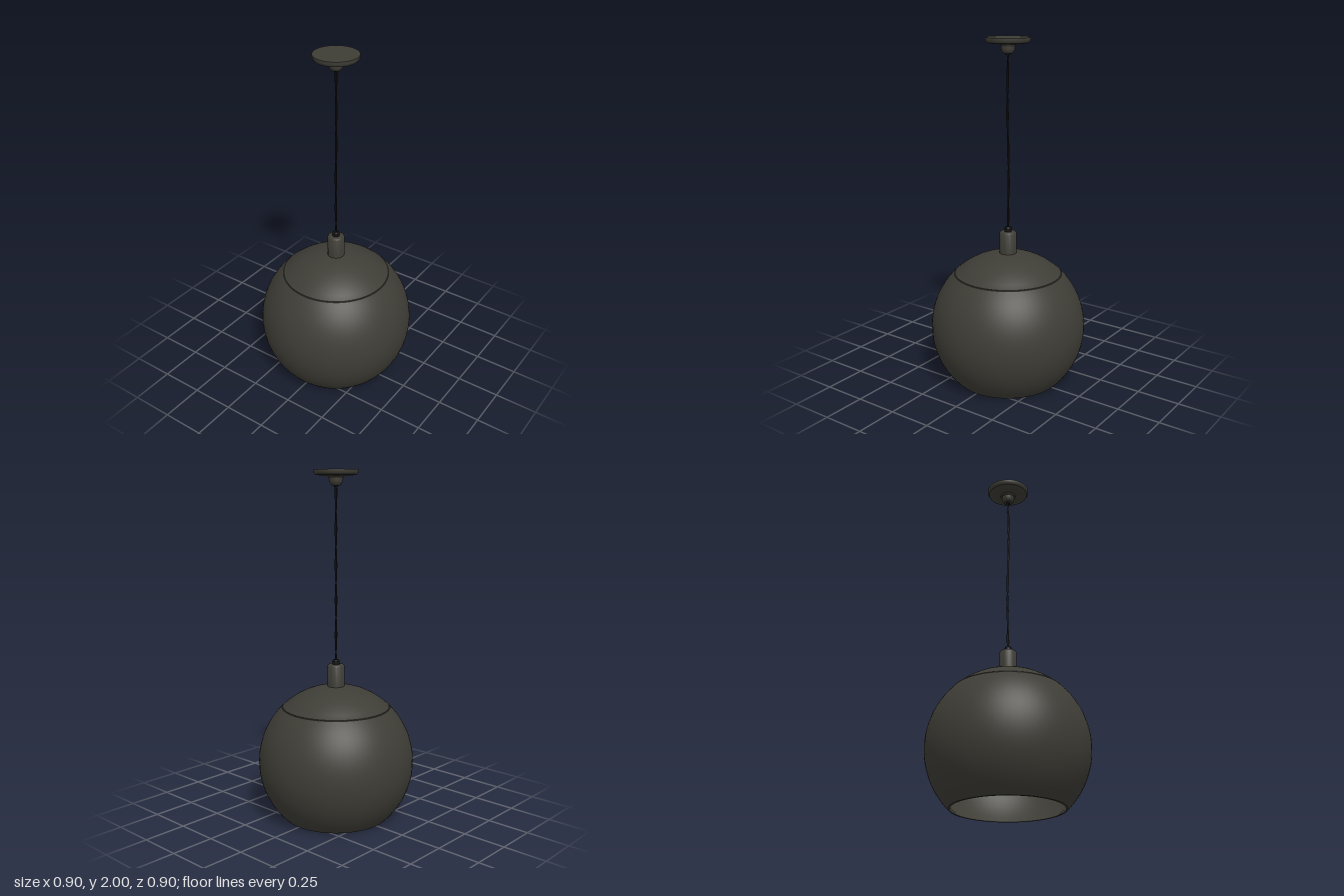
import * as THREE from 'three';
import { toCreasedNormals } from 'three/addons/utils/BufferGeometryUtils.js';

const metal = new THREE.MeshStandardMaterial({ color: 0x3e3d36 });
metal.name = 'dark olive metal';
const black = new THREE.MeshStandardMaterial({ color: 0x141414 });
black.name = 'black cord';

const R = 0.452, CY = 0.325;   // globe radius and centre height
const SEAM = 0.65;             // height of the cap seam

export function createModel() {
  const group = new THREE.Group();

  const add = (name, geometry, material) => {
    const mesh = new THREE.Mesh(geometry, material);
    mesh.name = name;
    group.add(mesh);
    return mesh;
  };
  // Revolves [radius, height] pairs, listed upwards along the outside
  const lathe = (name, points, material, segments = 48) => add(name, toCreasedNormals(
    new THREE.LatheGeometry(points.map(([x, y]) => new THREE.Vector2(x, y)), segments), 0.6), material);
  // Points of a circular arc between two heights
  const arc = (r, y0, y1, n) => {
    const a0 = Math.asin(Math.max(-1, (y0 - CY) / r)), a1 = Math.asin(Math.min(1, (y1 - CY) / r));
    return Array.from({ length: n + 1 }, (_, i) => {
      const a = a0 + (a1 - a0) * i / n;
      return [Math.max(0, r * Math.cos(a)), CY + r * Math.sin(a)];
    });
  };

  // Hollow globe: inner wall downwards, rim, outer wall up to the seam
  const inner = R - 0.008;
  const seamR = Math.sqrt(R * R - (SEAM - CY) ** 2);
  lathe('globeShade', [
    ...arc(inner, 0, CY + inner, 24).reverse(),
    ...arc(R, 0, SEAM, 24),
    [seamR - 0.008, SEAM - 0.001],
  ], metal, 64);

  // Cap with a small rolled edge sitting in the seam
  lathe('shadeCap', [
    [seamR - 0.008, SEAM - 0.001], [seamR - 0.004, SEAM + 0.001], [seamR - 0.004, SEAM + 0.005],
    ...arc(R - 0.001, SEAM + 0.01, CY + R - 0.001, 14),
  ], metal, 64);

  // Socket sleeve and cord grip
  lathe('socketSleeve', [
    [0.049, 0.755], [0.049, 0.893], [0.046, 0.899], [0.041, 0.902], [0, 0.902],
  ], metal, 32);
  lathe('cordGrip', [
    [0.021, 0.9], [0.021, 0.922], [0.015, 0.93], [0, 0.93],
  ], black, 20);

  // Two loosely twisted strands of cord
  for (const side of [0, Math.PI]) {
    const points = Array.from({ length: 41 }, (_, i) => {
      const t = i / 40, a = side + t * Math.PI * 5;
      const sway = 0.003 * Math.sin(t * Math.PI * 2 + Math.PI) * Math.sin(t * Math.PI);
      return new THREE.Vector3(
        0.0035 * Math.cos(a) - sway * -1, 0.92 + t * 1.0, 0.0035 * Math.sin(a) + sway);
    });
    add('cordStrand', new THREE.TubeGeometry(new THREE.CatmullRomCurve3(points), 80, 0.0038, 8), black);
  }

  // Ceiling canopy with its collar and lower grip
  lathe('ceilingCanopy', [
    [0, 1.952], [0.04, 1.952], [0.046, 1.962], [0.07, 1.966], [0.105, 1.968], [0.117, 1.972],
    [0.124, 1.982], [0.125, 1.99], [0.125, 2], [0, 2],
  ], metal);
  lathe('canopyCollar', [
    [0, 1.913], [0.024, 1.913], [0.033, 1.922], [0.037, 1.935], [0.037, 1.956],
  ], metal, 32);
  lathe('canopyGrip', [
    [0, 1.905], [0.012, 1.905], [0.014, 1.915],
  ], black, 20);

  return group;
}
